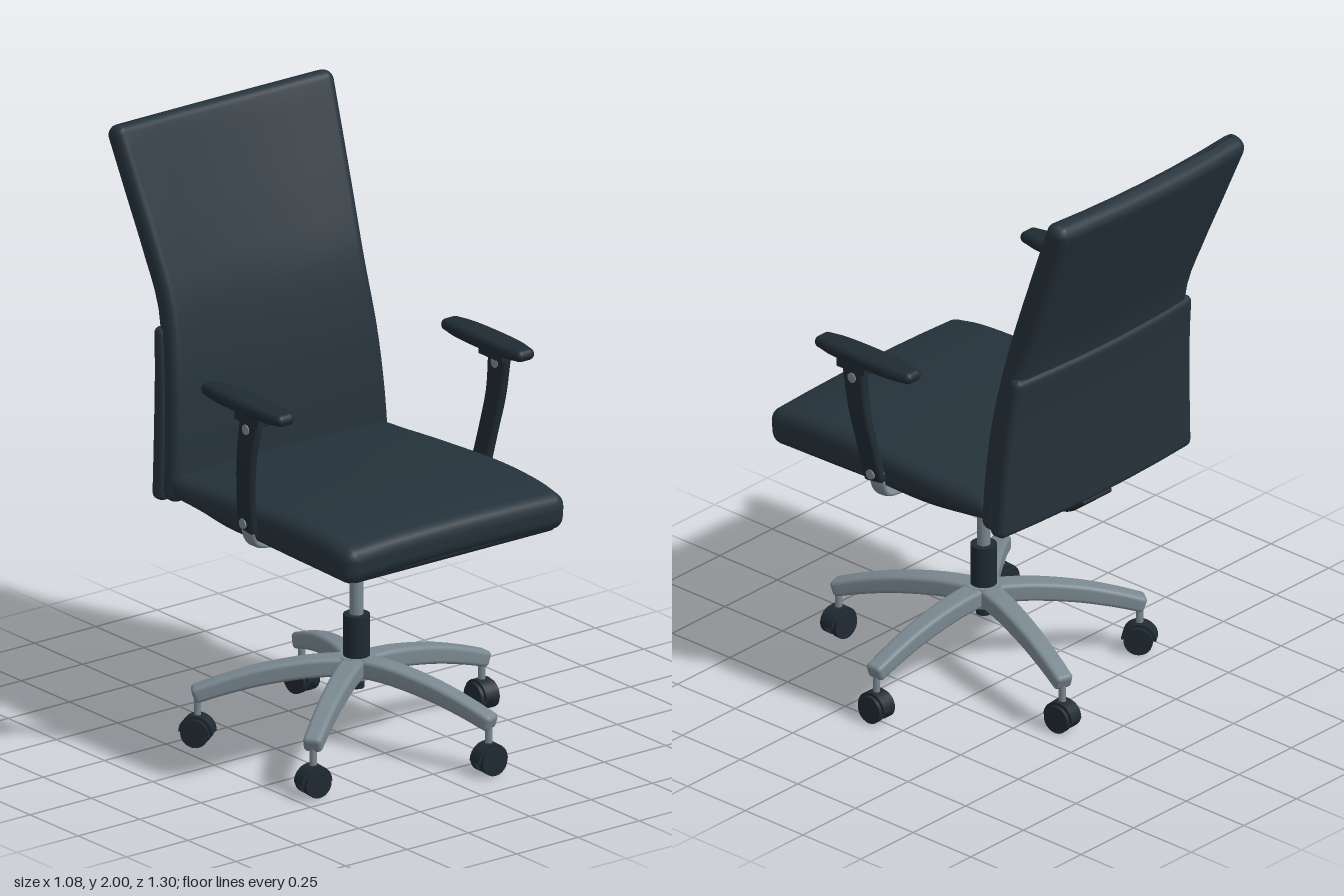
import * as THREE from 'three';

const mat = (name, color, side = THREE.FrontSide) => {
  const m = new THREE.MeshStandardMaterial({ color, side });
  m.name = name;
  return m;
};

// Rounded pad swept along a path of [z, y, halfWidth, halfThickness, centreX],
// with corners and ends rounded by r; bow pulls the side edges along the normal.
function padGeometry(path, r, bow = 0, steps = 20) {
  const a = new THREE.CatmullRomCurve3(path.map(p => new THREE.Vector3(p[2], p[1], p[0])), false, 'catmullrom');
  const b = new THREE.CatmullRomCurve3(path.map(p => new THREE.Vector3(p[3], p[4] || 0, 0)), false, 'catmullrom');
  const rings = [];
  for (let k = 0; k < 4; k++) rings.push([0, -Math.cos(k * Math.PI / 8), 1 - Math.sin(k * Math.PI / 8)]);
  for (let i = 0; i <= steps; i++) rings.push([i / steps, 0, 0]);
  for (let k = 3; k >= 0; k--) rings.push([1, Math.cos(k * Math.PI / 8), 1 - Math.sin(k * Math.PI / 8)]);
  const pos = [], idx = [], x = new THREE.Vector3(1, 0, 0);
  const arc = 4, flat = 6;
  let n = 0;
  rings.forEach(([t, push, inset]) => {
    const p = a.getPoint(t), q = b.getPoint(t);
    const d = a.getPoint(Math.min(1, t + 0.01)).sub(a.getPoint(Math.max(0, t - 0.01))).setX(0).normalize();
    const nrm = d.clone().cross(x);
    const rr = Math.min(r, q.x * 0.95, p.x * 0.95);
    const hw = p.x - inset * rr, ht = q.x - inset * rr, c = Math.max(rr * (1 - inset), 0.001);
    const loop = [];
    [[1, 1], [-1, 1], [-1, -1], [1, -1]].forEach(([sx, sy], k) => {
      for (let j = 0; j <= arc; j++) {
        const w = (k + j / arc) * Math.PI / 2;
        loop.push([sx * (hw - c) + c * Math.cos(w), sy * (ht - c) + c * Math.sin(w)]);
      }
      // extra points across the broad faces so that they can bow
      if (k % 2 === 0) for (let j = 1; j < flat; j++) loop.push([sx * (hw - c) * (1 - 2 * j / flat), sy * ht]);
    });
    n = loop.length;
    loop.forEach(([u, v]) => {
      const o = v + bow * (u / p.x) ** 2;
      pos.push(q.y + u, p.y + nrm.y * o + d.y * push * rr, p.z + nrm.z * o + d.z * push * rr);
    });
  });
  for (let i = 0; i < rings.length - 1; i++) for (let j = 0; j < n; j++) {
    const k = (j + 1) % n, A = i * n, B = A + n;
    idx.push(A + j, A + k, B + k, A + j, B + k, B + j);
  }
  const last = (rings.length - 1) * n;
  for (let j = 1; j < n - 1; j++) idx.push(0, j + 1, j, last, last + j, last + j + 1);
  const g = new THREE.BufferGeometry();
  g.setAttribute('position', new THREE.Float32BufferAttribute(pos, 3));
  g.setIndex(idx);
  g.computeVertexNormals();
  return g;
}

export function createModel() {
  const fabric = mat('dark fabric', 0x25323b);
  const plastic = mat('dark plastic', 0x1f2a32, THREE.DoubleSide);
  const metal = mat('grey metal', 0x7a8890);
  const model = new THREE.Group();
  const add = (name, geo, material, x = 0, y = 0, z = 0, parent = model) => {
    const m = new THREE.Mesh(geo, material);
    m.name = name;
    m.position.set(x, y, z);
    parent.add(m);
    return m;
  };
  const cyl = (top, bottom, h, n = 24) => new THREE.CylinderGeometry(top, bottom, h, n);
  const CX = -0.01, CZ = 0.115;

  // Seat cushion and the pan beneath it
  add('seatCushion', padGeometry([
    [-0.25, 0.868, 0.445, 0.04], [0, 0.868, 0.452, 0.057], [0.3, 0.871, 0.455, 0.069],
    [0.5, 0.866, 0.453, 0.07], [0.612, 0.855, 0.45, 0.064]], 0.045, -0.012), fabric, -0.02);
  add('seatPan', padGeometry([
    [-0.24, 0.82, 0.4, 0.02], [0, 0.805, 0.42, 0.02], [0.3, 0.808, 0.42, 0.018],
    [0.62, 0.796, 0.41, 0.016]], 0.015), plastic, -0.015);

  // Backrest cushion and lower rear shell
  add('backCushion', padGeometry([
    [-0.322, 0.83, 0.445, 0.04], [-0.33, 1.0, 0.435, 0.042], [-0.352, 1.2, 0.42, 0.045],
    [-0.395, 1.42, 0.404, 0.043], [-0.46, 1.6, 0.415, 0.043], [-0.532, 1.78, 0.43, 0.043],
    [-0.603, 1.957, 0.445, 0.042]], 0.035, -0.018), fabric, CX);
  add('backShell', padGeometry([
    [-0.368, 0.815, 0.455, 0.03], [-0.374, 1.0, 0.445, 0.03], [-0.39, 1.2, 0.43, 0.028],
    [-0.41, 1.338, 0.418, 0.025]], 0.022, -0.02), fabric, CX);

  // Tilt mechanism with curved brackets and lever
  add('mechanismHousing', new THREE.BoxGeometry(0.2, 0.09, 0.2), plastic, CX, 0.735, 0.14);
  for (const s of [-1, 1]) add('frontBracket', padGeometry([
    [0.0, 0.775, 0.035, 0.014], [0.06, 0.715, 0.035, 0.016], [0.15, 0.697, 0.035, 0.016],
    [0.24, 0.698, 0.035, 0.015], [0.34, 0.735, 0.035, 0.013], [0.39, 0.79, 0.035, 0.012]], 0.01),
    plastic, CX + s * 0.125);
  add('mechanismPlate', new THREE.BoxGeometry(0.32, 0.03, 0.38), plastic, CX, 0.775, 0.19);
  add('rearBracket', padGeometry([
    [-0.37, 0.785, 0.07, 0.014], [-0.3, 0.74, 0.07, 0.016], [-0.2, 0.727, 0.07, 0.015],
    [-0.1, 0.755, 0.07, 0.014], [0.05, 0.765, 0.07, 0.014]], 0.01), plastic, CX);
  add('tiltLever', cyl(0.025, 0.025, 0.08, 16), plastic, -0.185, 0.732, 0.2).rotation.z = Math.PI / 2;

  // Armrests: metal carrier, upright, bolts and pad on both sides
  for (const s of [-1, 1]) {
    const arm = new THREE.Group();
    arm.name = s > 0 ? 'leftArmrest' : 'rightArmrest';
    arm.position.x = -0.007;
    model.add(arm);
    const bar = new THREE.CatmullRomCurve3([[0, 0.778], [0.25, 0.778], [0.4, 0.778], [0.45, 0.793], [0.468, 0.835], [0.472, 0.88]]
      .map(([x, y]) => new THREE.Vector3(s * x, y, 0)));
    add('armCarrier', new THREE.TubeGeometry(bar, 30, 0.012, 10).scale(1, 1, 2.7), metal, 0, 0, 0.145, arm);
    add('armUpright', padGeometry([
      [0.15, 0.85, 0.015, 0.04, s * 0.475], [0.168, 0.98, 0.016, 0.038, s * 0.495],
      [0.188, 1.1, 0.017, 0.039, s * 0.508], [0.208, 1.23, 0.018, 0.044, s * 0.506]], 0.012), plastic, 0, 0, 0, arm);
    add('padMount', new THREE.BoxGeometry(0.06, 0.03, 0.12), plastic, s * 0.497, 1.247, 0.21, arm);
    add('armPad', padGeometry([
      [-0.02, 1.28, 0.036, 0.02], [0.05, 1.28, 0.046, 0.023], [0.17, 1.28, 0.049, 0.024],
      [0.29, 1.28, 0.046, 0.023], [0.357, 1.28, 0.036, 0.02]], 0.02), plastic, s * 0.489, 0, 0, arm);
    for (const [x, y, z] of [[0.507, 1.21, 0.205], [0.478, 0.868, 0.152]])
      add('armBolt', cyl(0.017, 0.017, 0.042, 16), metal, s * x, y, z, arm).rotation.z = Math.PI / 2;
  }

  // Gas lift column
  add('columnCollar', cyl(0.045, 0.03, 0.05), metal, CX, 0.665, CZ);
  add('columnRod', cyl(0.022, 0.022, 0.25), metal, CX, 0.535, CZ);
  add('columnSleeve', cyl(0.043, 0.043, 0.16), plastic, CX, 0.36, CZ);
  add('columnFoot', cyl(0.025, 0.025, 0.08), plastic, CX, 0.23, CZ);
  add('baseHub', cyl(0.06, 0.048, 0.075), metal, CX, 0.262, CZ);

  // Five-star base, each leg with a stem and a twin-wheel caster
  const legGeo = padGeometry([
    [0.01, 0.268, 0.04, 0.032], [0.15, 0.262, 0.037, 0.032], [0.3, 0.238, 0.034, 0.031],
    [0.42, 0.206, 0.032, 0.029], [0.512, 0.175, 0.031, 0.027]], 0.014);
  const wheelGeo = cyl(0.047, 0.047, 0.024).rotateZ(Math.PI / 2);
  const hoodGeo = new THREE.CylinderGeometry(0.057, 0.057, 0.05, 18, 1, false, 0, Math.PI).rotateZ(Math.PI / 2);
  const swivel = [0, 1.5, 1.45, 0.6, 0.1];
  for (let i = 0; i < 5; i++) {
    const a = i * Math.PI * 2 / 5;
    add('baseLeg', legGeo, metal, CX, 0, CZ).rotation.y = Math.PI / 2 - a;
    const caster = new THREE.Group();
    caster.name = 'caster';
    caster.position.set(CX + 0.51 * Math.cos(a), 0, CZ + 0.51 * Math.sin(a));
    caster.rotation.y = swivel[i];
    model.add(caster);
    add('casterStem', cyl(0.012, 0.012, 0.09, 12), metal, 0, 0.125, 0, caster);
    add('casterHood', hoodGeo, plastic, 0, 0.047, 0, caster);
    for (const s of [-1, 1]) add('casterWheel', wheelGeo, plastic, s * 0.025, 0.047, 0, caster);
  }
  return model;
}
